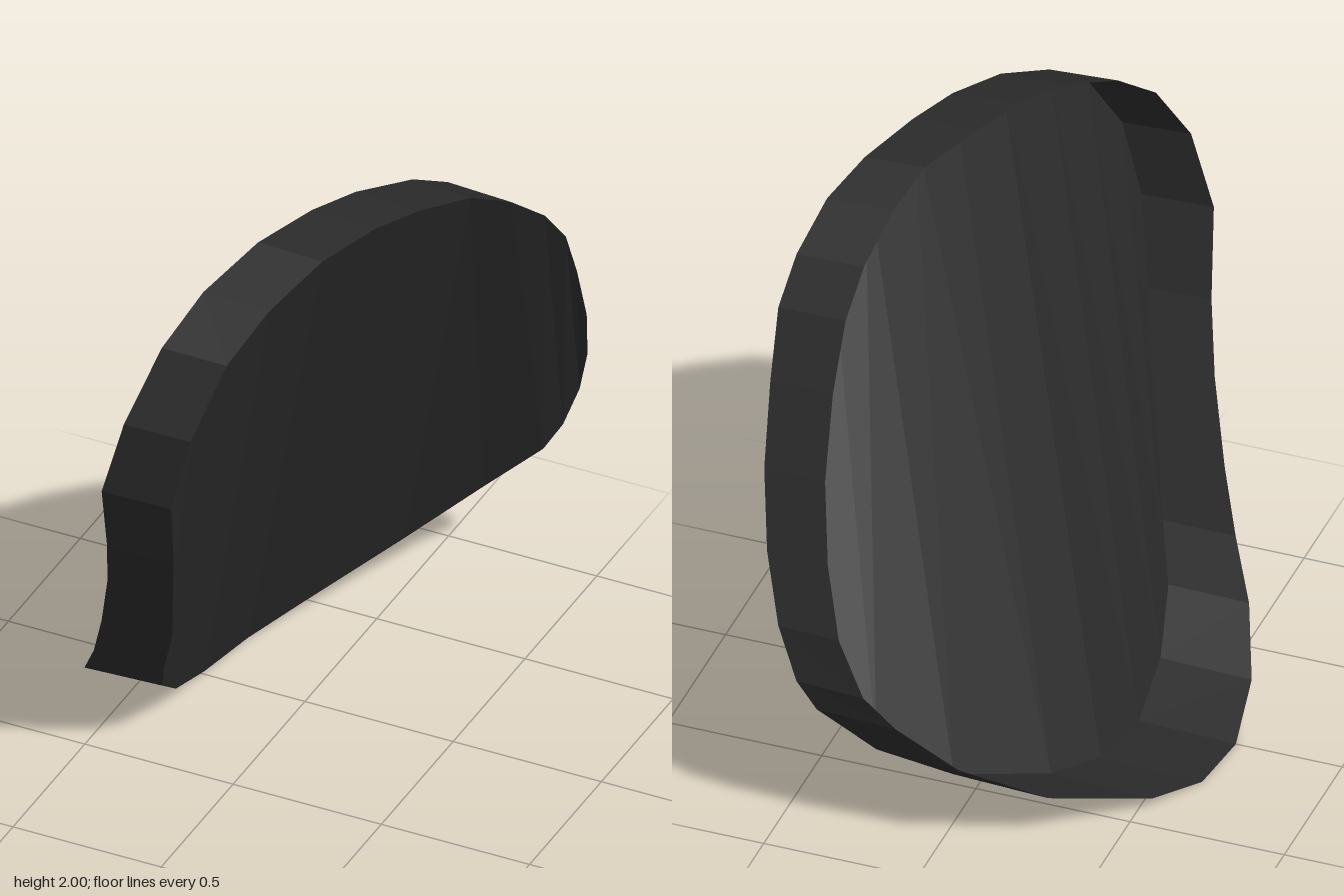
import * as THREE from 'three';

// Outline stations of the shell: z, y, x of the panel edge, x of the open lip
const STATIONS = [
  [0.94, 1.27, 0, -0.23], [0.93, 1.53, 0.06, -0.16], [0.8, 1.75, 0.12, -0.095], [0.645, 1.88, 0.19, -0.03],
  [0.45, 1.97, 0.275, 0.06], [0.26, 2, 0.36, 0.15], [0.1, 1.99, 0.43, 0.22], [-0.09, 1.95, 0.515, 0.32],
  [-0.23, 1.87, 0.585, 0.37], [-0.375, 1.745, 0.63, 0.41], [-0.48, 1.61, 0.65, 0.43], [-0.59, 1.41, 0.635, 0.43],
  [-0.71, 1.17, 0.61, 0.41], [-0.82, 0.945, 0.56, 0.36], [-0.91, 0.74, 0.49, 0.29], [-0.94, 0.57, 0.42, 0.2],
  [-0.925, 0.47, 0.36, 0.1], [-0.86, 0.32, 0.19, -0.08], [-0.7, 0.17, 0, -0.31], [-0.415, 0.04, -0.21, -0.54],
  [-0.225, 0, -0.3, -0.63], [0, 0, -0.34, -0.655], [0.23, 0.08, -0.325, -0.62], [0.42, 0.22, -0.28, -0.54],
  [0.53, 0.375, -0.22, -0.455], [0.62, 0.56, -0.15, -0.385], [0.735, 0.795, -0.09, -0.31], [0.84, 1, -0.04, -0.26],
];
const N = STATIONS.length;
const INSET = 0.99; // the panel edge sits slightly inside the lip

// Flat-faced surface from a list of four-cornered faces
function quadSurface(quads) {
  const points = quads.flatMap(([a, b, c, d]) => [a, b, c, a, c, d]);
  const geometry = new THREE.BufferGeometry().setFromPoints(points);
  geometry.computeVertexNormals();
  return geometry;
}

export function createModel() {
  const group = new THREE.Group();
  group.name = 'curvedShell';
  const charcoal = new THREE.MeshStandardMaterial({ color: 0x2a2a2a, side: THREE.DoubleSide, flatShading: true });
  charcoal.name = 'charcoal';

  const panelEdge = STATIONS.map(([z, y, x]) => new THREE.Vector3(x, 1 + (y - 1) * INSET, z * INSET));
  const lipEdge = STATIONS.map(([z, y, , x]) => new THREE.Vector3(x, y, z));

  // Panel: long strips joining the upper edge to the lower edge
  const strips = [];
  const start = 26;
  for (let k = 0; k < N / 2; k++) {
    const upper = (i) => panelEdge[(start + i) % N];
    const lower = (i) => panelEdge[(start - i + N) % N];
    strips.push([lower(k), lower(k + 1), upper(k + 1), upper(k)]);
  }
  const panel = new THREE.Mesh(quadSurface(strips), charcoal);
  panel.name = 'panel';

  // Rim: wall from the panel edge to the open lip
  const walls = STATIONS.map((_, i) => {
    const j = (i + 1) % N;
    return [panelEdge[i], panelEdge[j], lipEdge[j], lipEdge[i]];
  });
  const rim = new THREE.Mesh(quadSurface(walls), charcoal);
  rim.name = 'rim';

  group.add(panel, rim);
  return group;
}
